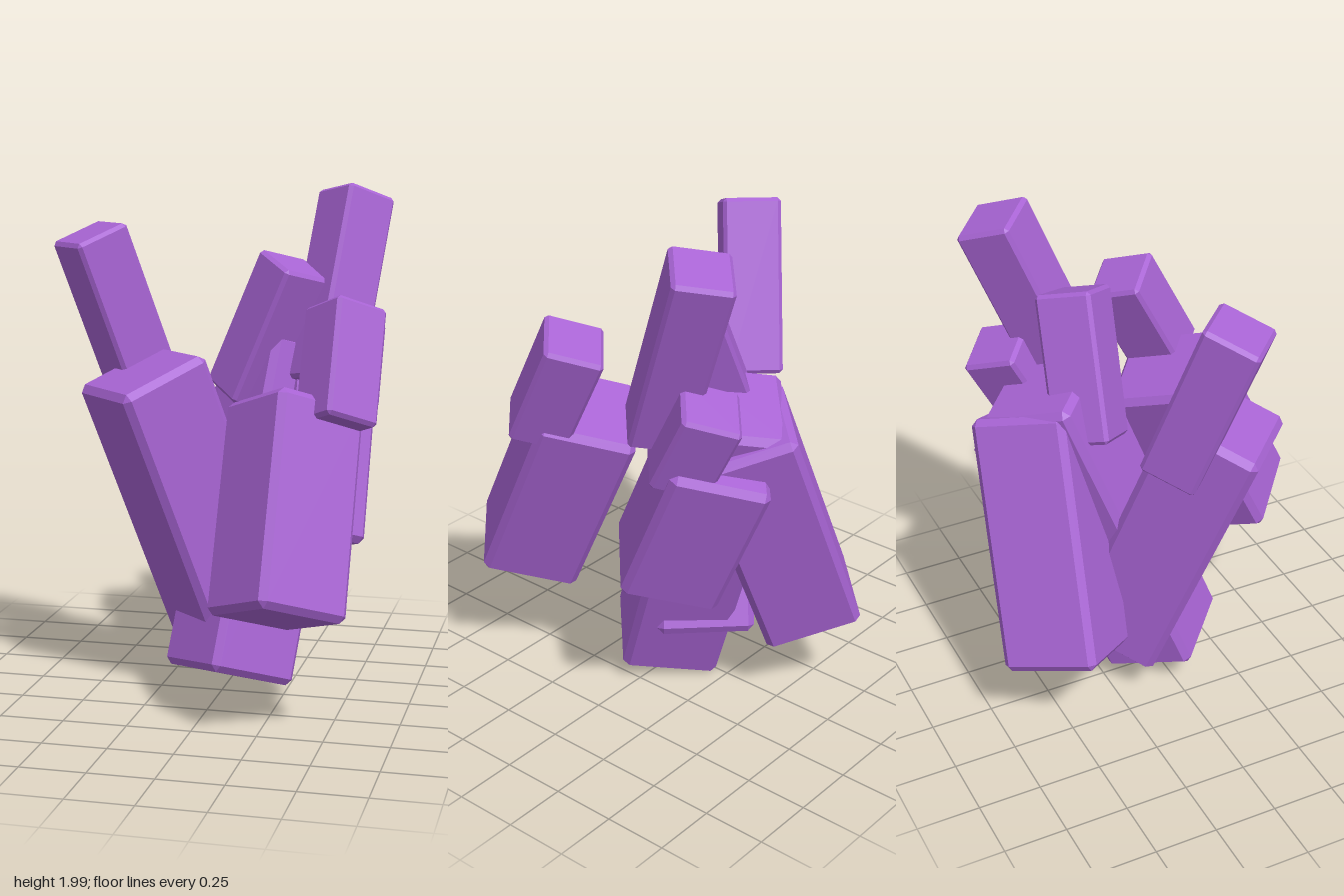
import * as THREE from 'three';
import { ConvexGeometry } from 'three/addons/geometries/ConvexGeometry.js';

// Square prism with every edge chamfered by c
function chamferedPrism(w, length, c) {
  const half = [w / 2, length / 2, w / 2];
  const points = [];
  for (const sx of [-1, 1]) for (const sy of [-1, 1]) for (const sz of [-1, 1]) {
    // three points per corner, each lying on one face
    for (let face = 0; face < 3; face++) {
      const p = half.map((h, i) => (i === face ? h : h - c));
      points.push(new THREE.Vector3(sx * p[0], sy * p[1], sz * p[2]));
    }
  }
  return new ConvexGeometry(points);
}

export function createModel() {
  const model = new THREE.Group();
  model.name = 'crystalCluster';
  const crystalPurple = new THREE.MeshStandardMaterial({ color: 0xa864d4 });
  crystalPurple.name = 'crystalPurple';
  const up = new THREE.Vector3(0, 1, 0);
  const yaw = new THREE.Quaternion().setFromAxisAngle(up, Math.PI / 4);

  // Crystal running between the centres of its bottom and top faces
  function addCrystal(name, bottom, top, w, c) {
    const a = new THREE.Vector3(...bottom);
    const b = new THREE.Vector3(...top);
    const axis = b.clone().sub(a);
    const length = axis.length() + 0.015;
    const mesh = new THREE.Mesh(chamferedPrism(w, length, c), crystalPurple);
    mesh.name = name;
    mesh.position.copy(a).add(b).multiplyScalar(0.5);
    mesh.quaternion.setFromUnitVectors(up, axis.normalize()).multiply(yaw);
    model.add(mesh);
  }

  // Each thick shaft has a thinner crystal of the same lean near its top
  const pairs = [
    ['centre', [0.035, 0.10, 0.04], [0.18, 1.34, -0.41], [0.36, 1.24, -0.19], [0.44, 1.95, -0.465]],
    ['front', [0.325, 0.48, 0.52], [0.325, 1.20, 0.18], [0.495, 1.16, 0.28], [0.495, 1.555, 0.08]],
    ['right', [0.03, 0.225, -0.14], [-0.28, 1.305, 0.15], [-0.33, 1.20, -0.09], [-0.505, 1.82, 0.07]],
    ['rear', [-0.2, 0.35, -0.49], [0.18, 1.25, -0.43], [0.02, 1.17, -0.27], [0.24, 1.685, -0.235]],
    ['left', [0.28, 0.61, -0.165], [0.28, 1.18, -0.42], [0.41, 1.13, -0.33], [0.41, 1.43, -0.485]],
  ];
  for (const [name, b1, t1, b2, t2] of pairs) {
    addCrystal(name + 'Shaft', b1, t1, 0.382, 0.025);
    addCrystal(name + 'Tip', b2, t2, 0.225, 0.014);
  }
  return model;
}
